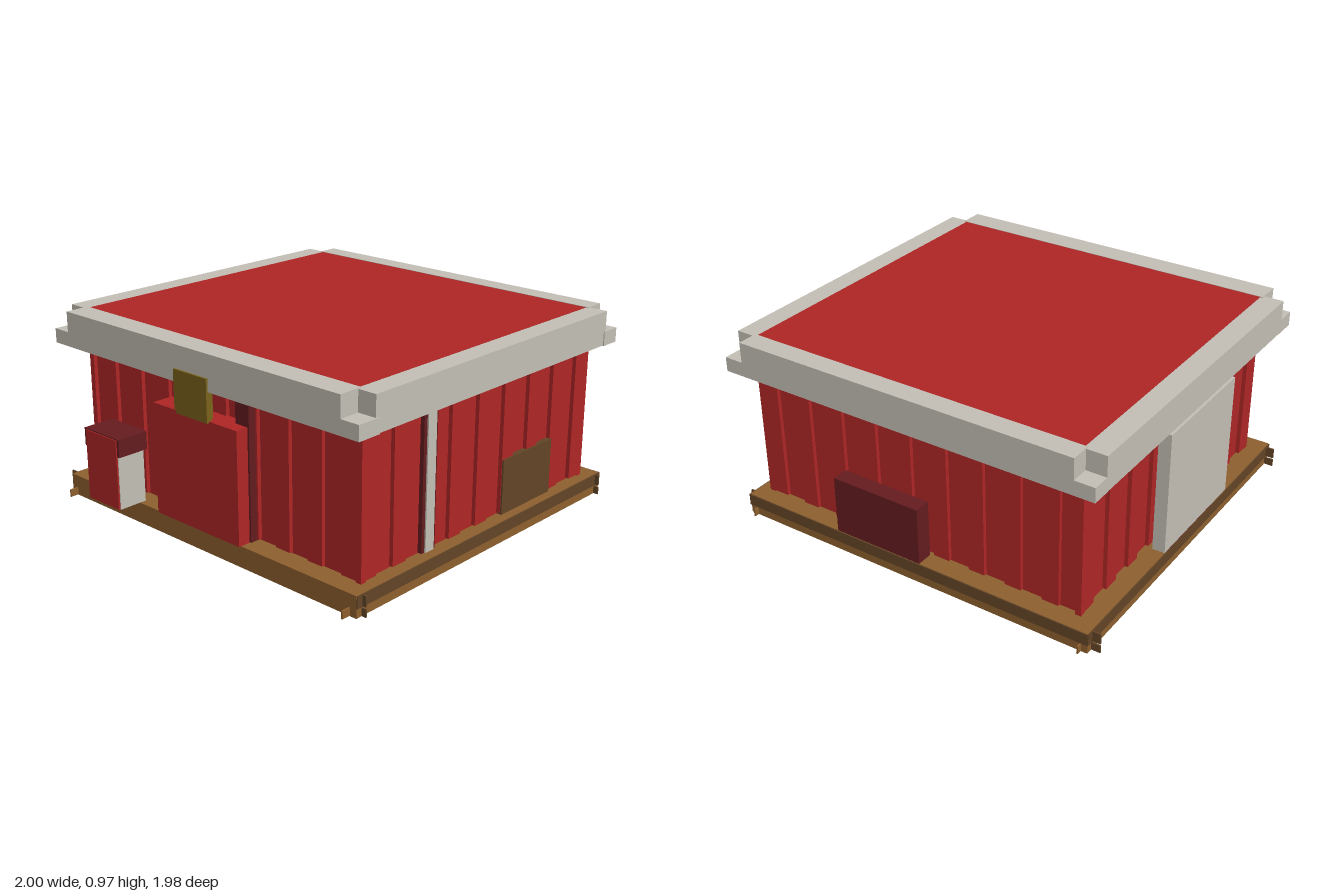
import * as THREE from 'three';

const mat = (name, color) => {
  const m = new THREE.MeshStandardMaterial({ color });
  m.name = name;
  return m;
};

export function createModel() {
  const red = mat('barn red', 0xb02626);
  const darkRed = mat('dark red', 0x651c1f);
  const grey = mat('warm grey', 0xc4c0b6);
  const brown = mat('light wood', 0x8e602e);
  const darkBrown = mat('dark wood', 0x634527);
  const olive = mat('olive', 0x7a631a);

  const model = new THREE.Group();
  model.name = 'cabin';
  const group = (name) => {
    const g = new THREE.Group();
    g.name = name;
    model.add(g);
    return g;
  };
  // Box given by its limits on each axis
  const box = (parent, name, material, x0, x1, y0, y1, z0, z1) => {
    const mesh = new THREE.Mesh(new THREE.BoxGeometry(x1 - x0, y1 - y0, z1 - z0), material);
    mesh.position.set((x0 + x1) / 2, (y0 + y1) / 2, (z0 + z1) / 2);
    mesh.name = name;
    parent.add(mesh);
  };

  // Wooden base with dark edge boards and thin crossed plank ends at the corners
  const base = group('base');
  box(base, 'floor', brown, -0.955, 0.975, 0, 0.105, -0.965, 0.87);
  box(base, 'backEdgeBoard', darkBrown, -0.955, 0.975, 0.045, 0.104, -0.97, -0.964);
  box(base, 'rightEdgeBoard', darkBrown, 0.974, 0.98, 0.045, 0.104, -0.968, 0.868);
  box(base, 'leftEdgeBoard', darkBrown, -0.96, -0.954, 0.045, 0.104, -0.968, 0.868);
  for (const x of [-0.92, 0.935]) {
    box(base, 'lengthwisePlank', brown, x - 0.004, x + 0.004, 0.002, 0.04, -0.99, 0.915);
  }
  for (const z of [-0.93, 0.835]) {
    box(base, 'lowerCrossPlank', darkBrown, -1, 1, 0.002, 0.04, z - 0.004, z + 0.004);
    box(base, 'upperCrossPlank', darkBrown, -1, 1, 0.05, 0.102, z - 0.004, z + 0.004);
  }

  // Walls with raised vertical boards and corner posts
  const walls = group('walls');
  box(walls, 'wallCore', red, -0.85, 0.9, 0.1, 0.8, -0.86, 0.76);
  const y0 = 0.112, y1 = 0.787, w = 0.085;
  for (let i = 0; i < 9; i++) {
    const x = -0.755 + i * 0.195;
    box(walls, 'frontBoard', red, x, x + w, y0, y1, 0.755, 0.78);
    box(walls, 'backBoard', red, x, x + w, y0, y1, -0.88, -0.855);
    const z = 0.685 - i * 0.193;
    box(walls, 'rightSideBoard', red, 0.895, 0.92, y0, y1, z, z + w);
    box(walls, 'leftSideBoard', red, -0.87, -0.845, y0, y1, z, z + w);
  }
  for (const [x0, x1] of [[-0.87, -0.84], [0.89, 0.92]]) {
    for (const [z0, z1] of [[-0.88, -0.85], [0.75, 0.78]]) {
      box(walls, 'cornerPost', red, x0, x1, 0.105, 0.797, z0, z1);
    }
  }

  // Roof panel and its notched edge trim
  const roof = group('roof');
  box(roof, 'roofPanel', red, -0.872, 0.887, 0.8, 0.968, -0.887, 0.768);
  for (const [z0, z1] of [[-0.99, -0.885], [0.765, 0.89]]) {
    box(roof, 'lowerTrim', grey, -0.985, 1, 0.795, 0.867, z0, z1);
    box(roof, 'upperTrim', grey, -0.885, 0.9, 0.86, 0.97, z0, z1);
  }
  for (const [x0, x1] of [[-0.985, -0.87], [0.885, 0.995]]) {
    box(roof, 'lowerSideTrim', grey, x0, x1, 0.797, 0.865, -0.985, 0.885);
    box(roof, 'upperSideTrim', grey, x0, x1, 0.86, 0.967, -0.9, 0.785);
  }

  // Front entrance block, post and hanging sign
  const entrance = group('entrance');
  box(entrance, 'doorBlock', red, -0.27, 0.285, 0.105, 0.655, 0.77, 0.882);
  box(entrance, 'doorPost', darkRed, 0.21, 0.295, 0.107, 0.787, 0.77, 0.817);
  box(entrance, 'sign', olive, -0.1, 0.117, 0.667, 0.858, 0.863, 0.9);
  box(entrance, 'signFoot', olive, -0.095, 0.11, 0.648, 0.667, 0.865, 0.895);

  // Small front hutch
  const hutch = group('hutch');
  box(hutch, 'hutchBody', grey, -0.657, -0.42, 0.105, 0.375, 0.835, 0.985);
  box(hutch, 'hutchFront', red, -0.649, -0.424, 0.105, 0.455, 0.984, 0.993);
  box(hutch, 'hutchRoof', darkRed, -0.665, -0.41, 0.37, 0.46, 0.82, 0.987);

  // Framed strip and crate on the +x wall
  const rightSide = group('rightSideFittings');
  box(rightSide, 'stripFrame', darkRed, 0.89, 0.921, 0.107, 0.79, 0.293, 0.385);
  box(rightSide, 'strip', grey, 0.9, 0.928, 0.107, 0.78, 0.308, 0.365);
  box(rightSide, 'crate', darkBrown, 0.89, 0.928, 0.105, 0.38, -0.585, -0.198);

  // Sliding panel with a dark step on the -x wall
  const leftSide = group('leftSideFittings');
  box(leftSide, 'slidingPanel', grey, -0.998, -0.935, 0.178, 0.797, -0.37, 0.25);
  box(leftSide, 'panelStep', darkRed, -0.96, -0.922, 0.11, 0.49, -0.27, 0.18);

  // Bin at the back
  box(model, 'backBin', darkRed, -0.085, 0.39, 0.13, 0.42, -0.99, -0.908);

  return model;
}
